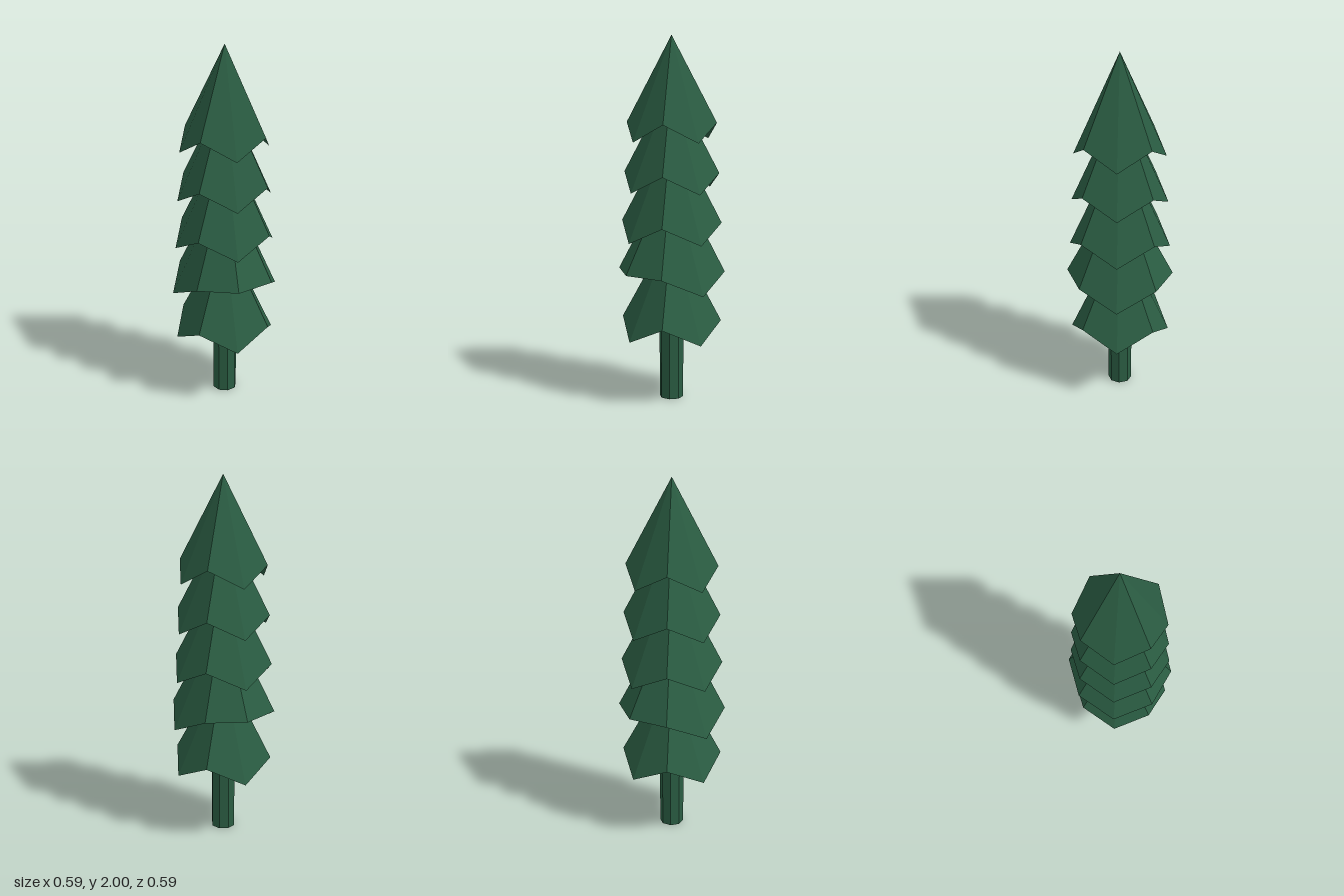
import * as THREE from 'three';

// One tier: an eight-sided cone whose lowered corners form pointed bough tips,
// hollowed underneath by a shallower cone.
function makeTier(radius, rimY, apexY, isLowered) {
  const drop = 0.098;
  const hollow = 0.136;
  const apex = [0, apexY, 0];
  const hub = [0, rimY + hollow, 0];
  const rim = [];
  for (let i = 0; i < 8; i++) {
    const a = (i * Math.PI) / 4;
    rim.push([radius * Math.sin(a), rimY - (isLowered(i) ? drop : 0), radius * Math.cos(a)]);
  }
  const points = [];
  for (let i = 0; i < 8; i++) {
    const p = rim[i];
    const q = rim[(i + 1) % 8];
    points.push(...apex, ...p, ...q); // outer slope
    points.push(...hub, ...q, ...p); // underside
  }
  const geometry = new THREE.BufferGeometry();
  geometry.setAttribute('position', new THREE.Float32BufferAttribute(points, 3));
  geometry.computeVertexNormals();
  return geometry;
}

export function createModel() {
  const tree = new THREE.Group();
  tree.name = 'pineTree';

  const green = new THREE.MeshStandardMaterial({
    color: 0x2a5c42,
    flatShading: true,
    side: THREE.DoubleSide,
  });
  green.name = 'pine green';

  // Trunk, an open tube reaching up into the lowest tier
  const trunk = new THREE.Mesh(new THREE.CylinderGeometry(0.067, 0.067, 0.6, 8, 1, true), green);
  trunk.name = 'trunk';
  trunk.position.y = 0.3;
  tree.add(trunk);

  // Tiers from bottom to top; the second keeps its front and back corners level
  const allTips = (i) => i % 2 === 0;
  const sideTips = (i) => i % 4 === 2;
  const tiers = [
    [0.277, 0.452, 0.96, allTips],
    [0.296, 0.727, 1.29, sideTips],
    [0.277, 0.997, 1.52, allTips],
    [0.262, 1.267, 1.76, allTips],
    [0.247, 1.537, 2.0, allTips],
  ];
  tiers.forEach(([radius, rimY, apexY, lowered], i) => {
    const tier = new THREE.Mesh(makeTier(radius, rimY, apexY, lowered), green);
    tier.name = `foliageTier${i + 1}`;
    tree.add(tier);
  });

  return tree;
}
